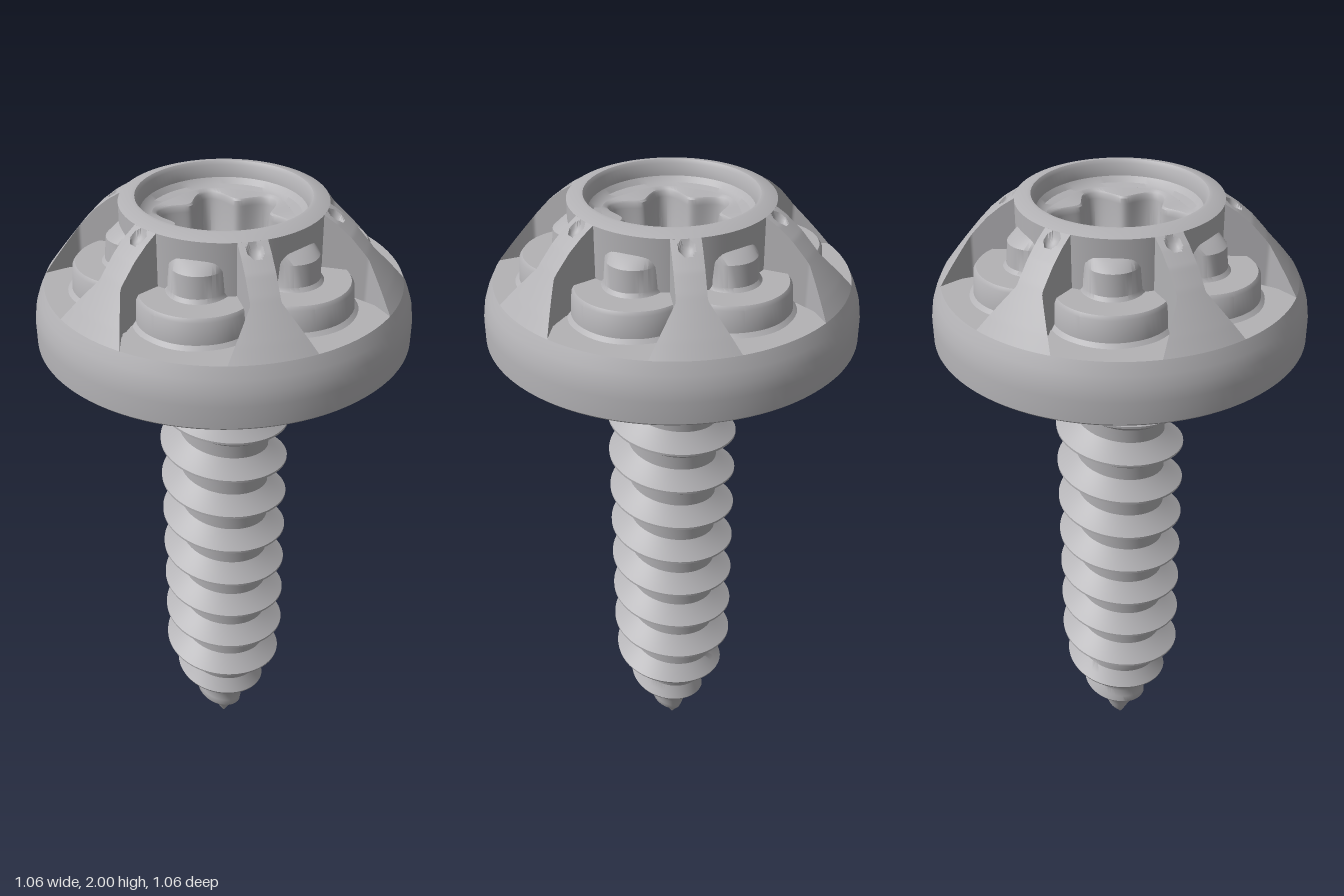
import * as THREE from 'three';
import { toCreasedNormals } from 'three/addons/utils/BufferGeometryUtils.js';

const TAU = Math.PI * 2;
const steel = new THREE.MeshStandardMaterial({ color: 0xb3b2b5, side: THREE.DoubleSide });
steel.name = 'steel';

// Piecewise linear lookup through [x, y] points
function lookup(pts, x) {
  if (x <= pts[0][0]) return pts[0][1];
  for (let i = 1; i < pts.length; i++) {
    const [x0, y0] = pts[i - 1], [x1, y1] = pts[i];
    if (x <= x1) return y0 + (y1 - y0) * (x - x0) / (x1 - x0);
  }
  return pts[pts.length - 1][1];
}

// Surface of nu x nv cells; f(i, j) returns [radius, angle, height]
function surface(name, nu, nv, f, crease = 0.6) {
  const pos = [], idx = [];
  for (let j = 0; j <= nv; j++) for (let i = 0; i <= nu; i++) {
    const [r, a, y] = f(i, j);
    pos.push(r * Math.cos(a), y, r * Math.sin(a));
  }
  for (let j = 0; j < nv; j++) for (let i = 0; i < nu; i++) {
    const a = j * (nu + 1) + i, b = a + nu + 1;
    idx.push(a, b, b + 1, a, b + 1, a + 1);
  }
  let geo = new THREE.BufferGeometry();
  geo.setAttribute('position', new THREE.Float32BufferAttribute(pos, 3));
  geo.setIndex(idx);
  // scaled up while creasing so that fine details are not welded together
  geo.scale(100, 100, 100);
  geo = toCreasedNormals(geo, crease);
  geo.scale(0.01, 0.01, 0.01);
  const mesh = new THREE.Mesh(geo, steel);
  mesh.name = name;
  return mesh;
}

// Revolved surface; rows are [radius, height, star amount]
function revolve(name, rows, n = 96) {
  return surface(name, n, rows.length - 1, (i, j) => {
    const [r, y, star = 0] = rows[j], a = (i / n) * TAU;
    return [r * (1 + star * Math.cos(6 * a)), a, y];
  });
}

// Dome height by radius, and half width of the ribs between pockets
const DOME = [[0.25, 2], [0.285, 1.987], [0.32, 1.965], [0.36, 1.932], [0.4, 1.888],
  [0.44, 1.838], [0.47, 1.8], [0.5, 1.76]];
const RIB = [[0.28, 0.04], [0.41, 0.04], [0.53, 0.145]];
const ribAngle = r => Math.asin(lookup(RIB, r) / r);
const R_OUT = 0.5, R_IN = 0.285;

// Pocket floor terraces: [radius on the centre line, bend, height]
const TERRACES = [[0.5, 0, 1.76], [0.47, 0.02, 1.76], [0.437, 0.06, 1.76], [0.425, 0.06, 1.77],
  [0.42, 0.06, 1.83], [0.412, 0.06, 1.84], [0.375, 0.07, 1.84], [0.34, 0.09, 1.84],
  [0.331, 0.09, 1.85], [0.325, 0.09, 1.91], [0.3, 0.06, 1.93], [0.27, 0, 1.94]];

function createHead() {
  const head = new THREE.Group();
  head.name = 'head';

  head.add(revolve('rim', [[0, 1.59], [0.525, 1.59], [0.532, 1.597], [0.532, 1.66],
    [0.527, 1.695], [0.516, 1.727], [0.5, 1.76]]));

  // Collar and six-lobed drive socket
  head.add(revolve('collar', [[0.285, 1.75], [0.285, 1.987], [0.25, 2], [0.24, 2],
    [0.232, 1.99], [0.228, 1.955], [0.215, 1.94], [0.195, 1.935, 0.03]]));
  head.add(revolve('driveSocket', [[0.195, 1.935, 0.03], [0.165, 1.93, 0.17], [0.16, 1.925, 0.18],
    [0.156, 1.91, 0.18], [0.15, 1.77, 0.18], [0.14, 1.755, 0.18], [0, 1.7]], 144));

  const NR = 44, NC = 18;
  const rowRadius = j => R_OUT + (R_IN - R_OUT) * j / NR;
  for (let k = 0; k < 6; k++) {
    const mid = k * TAU / 6;

    // Rib with a small round dimple near the collar
    head.add(surface('rib', NC, NR, (i, j) => {
      const r = rowRadius(j), a = ribAngle(r) * (2 * i / NC - 1);
      const d = Math.hypot(r * Math.cos(a) - 0.306, r * Math.sin(a)) / 0.021;
      const dip = d < 1 ? 0.02 * Math.sqrt(1 - d * d) : 0;
      return [r, mid + a, lookup(DOME, r) - dip];
    }));

    // Upright walls on both sides of the rib
    for (const side of [-1, 1]) {
      head.add(surface('pocketWall', 1, NR, (i, j) => {
        const r = rowRadius(j);
        const up = (i === 0) === (side > 0);
        return [r, mid + side * ribAngle(r), up ? lookup(DOME, r) : 1.75];
      }));
    }

    // Terraced pocket between this rib and the next
    const N = 24;
    head.add(surface('pocketFloor', N, TERRACES.length - 1, (i, j) => {
      const [r0, bend, y] = TERRACES[j], s = 1.02 * (2 * i / N - 1);
      const r = Math.max(0.275, r0 - bend * s * s);
      return [r, mid + TAU / 12 + s * (TAU / 12 - ribAngle(r)), y];
    }));
  }
  return head;
}

// Threaded shank: rows follow the helix so the crest stays sharp
function createShank() {
  const PITCH = 0.135, TURNS = 14, N = 72;
  const CORE = [[0, 0], [0.05, 0.028], [0.1, 0.052], [0.15, 0.075], [0.25, 0.11], [0.35, 0.135],
    [1.46, 0.137], [1.51, 0.157], [1.6, 0.157]];
  const CREST = [[0, 0], [0.05, 0.036], [0.1, 0.072], [0.15, 0.098], [0.2, 0.13], [0.28, 0.162],
    [0.34, 0.185], [0.4, 0.195], [1.48, 0.195], [1.54, 0.172], [1.6, 0.157]];
  // one thread turn: [fraction of the pitch, thread height]
  const TURN = [[-0.025, 1], [0.025, 1], [0.18, 0.45], [0.34, 0], [0.5, 0], [0.66, 0], [0.82, 0.45]];
  const start = 1.405 - 12 * PITCH;
  return surface('threadedShank', N, TURNS * TURN.length, (i, j) => {
    const [f, h] = TURN[j % TURN.length];
    const turn = Math.floor(j / TURN.length) + f + i / N;
    const y = THREE.MathUtils.clamp(start + turn * PITCH, 0, 1.595);
    const core = lookup(CORE, y);
    return [core + (lookup(CREST, y) - core) * h, (i / N) * TAU, y];
  }, 0.7);
}

export function createModel() {
  const model = new THREE.Group();
  model.name = 'screw';
  model.add(createHead(), createShank());
  return model;
}
